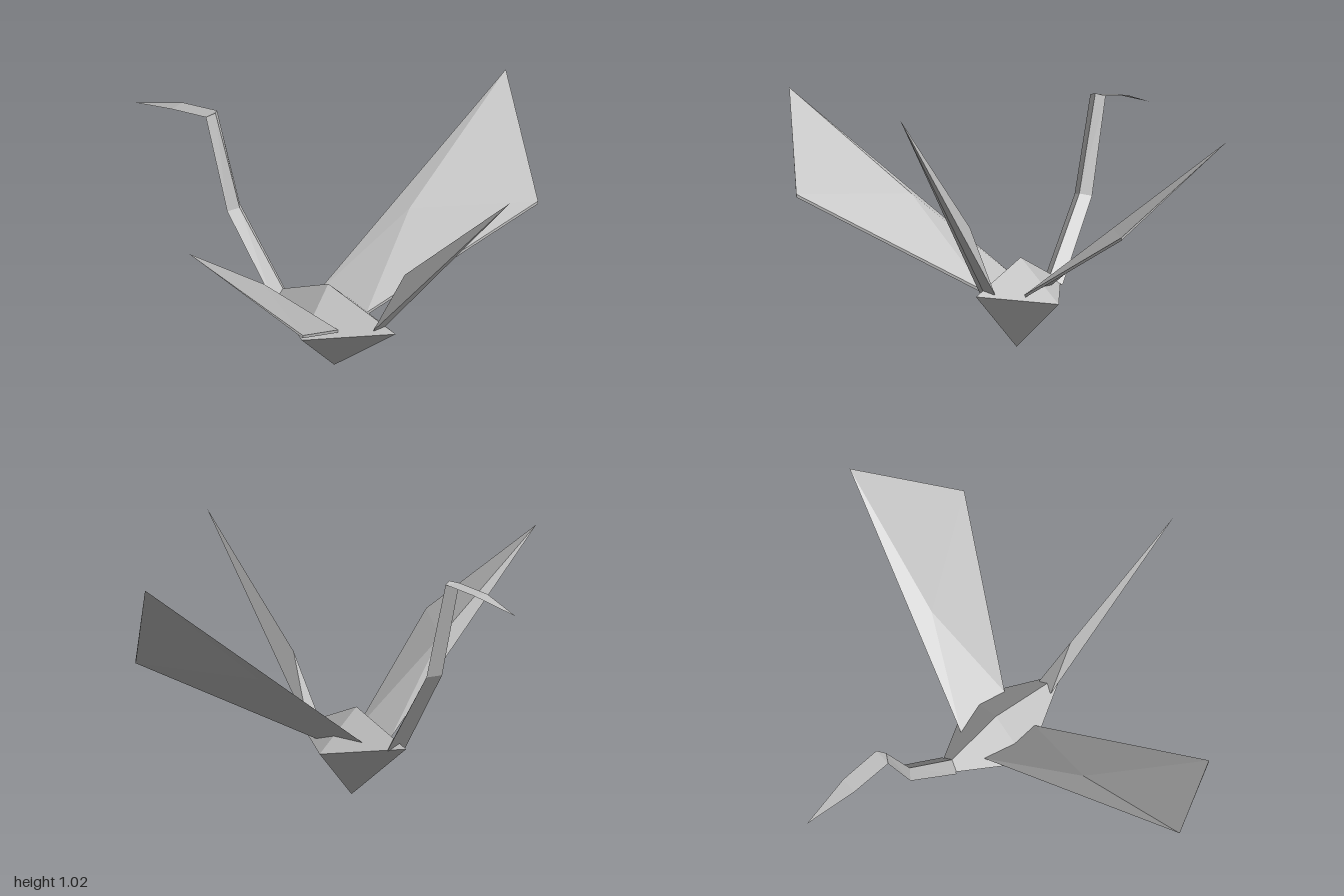
import * as THREE from 'three';

const paper = new THREE.MeshStandardMaterial({ color: 0xbebebe, side: THREE.DoubleSide, flatShading: true });
paper.name = 'grey paper';

// Flat-shaded folded part from named corner points; each face is a string of corner names
function folded(name, corners, faces) {
  const position = [];
  for (const face of faces) {
    for (let i = 1; i < face.length - 1; i++) {
      for (const key of [face[0], face[i], face[i + 1]]) position.push(...corners[key]);
    }
  }
  const geometry = new THREE.BufferGeometry();
  geometry.setAttribute('position', new THREE.Float32BufferAttribute(position, 3));
  geometry.computeVertexNormals();
  const mesh = new THREE.Mesh(geometry, paper);
  mesh.name = name;
  return mesh;
}

// Thin two-layer wing: A, F root corners, T tip, C trailing corner, M crease; lower case is the under layer
function wing(name, corners) {
  const all = { ...corners };
  for (const key of 'FCM') {
    const [x, y, z] = corners[key];
    all[key.toLowerCase()] = [x, y - 0.012, z];
  }
  const faces = ['AMT', 'MCT', 'MFC', 'AFM', 'ATm', 'mTc', 'mcf', 'Amf', 'Ffc', 'FcC', 'CcT', 'AfF'];
  // the x < 0 wing is wound the other way round
  const flip = corners.T[0] < 0;
  return folded(name, all, flip ? faces.map((f) => [...f].reverse().join('')) : faces);
}

export function createModel() {
  const model = new THREE.Group();
  model.name = 'folded paper bird';

  // Body: uneven four-sided double pyramid
  model.add(folded('body', {
    T: [0, 0.35, 0.03], B: [0, 0, 0.06],
    F: [0, 0.24, 0.365], K: [0, 0.22, -0.27],
    L: [0.18, 0.18, 0.04], R: [-0.18, 0.18, 0.04],
  }, ['TFL', 'TLK', 'TKR', 'TRF', 'BLF', 'BKL', 'BRK', 'BFR']));

  // Wings, one raised a little higher
  model.add(wing('leftWing', {
    A: [0.07, 0.23, -0.09], F: [0.09, 0.225, 0.15], M: [0.45, 0.51, 0.08],
    T: [1, 0.905, 0.125], C: [0.74, 0.555, 0.49],
  }));
  model.add(wing('rightWing', {
    A: [-0.07, 0.23, -0.09], F: [-0.09, 0.225, 0.15], M: [-0.47, 0.57, 0.08],
    T: [-1, 0.95, 0.125], C: [-0.745, 0.6, 0.49],
  }));

  // Spike with a keel below and a bent upper edge
  model.add(folded('tail', {
    L: [0.035, 0.24, 0.28], R: [-0.035, 0.24, 0.28], K: [0, 0.235, 0.295],
    B: [0, 0.52, 0.41], T: [0, 1.02, 0.935],
  }, ['LBT', 'RTB', 'RBL', 'KLT', 'RKT', 'LKR']));

  // Neck: triangular tube through three sections [half width, edge y, edge z, ridge y, ridge z]
  const sections = [
    [0.045, 0.21, -0.21, 0.24, -0.185],
    [0.04, 0.53, -0.44, 0.54, -0.41],
    [0.035, 0.91, -0.55, 0.92, -0.53],
  ];
  const rings = sections.map(([w, y, z, ry, rz]) => ({ L: [w, y, z], R: [-w, y, z], C: [0, ry, rz] }));
  for (let i = 0; i < 2; i++) {
    const low = rings[i], high = rings[i + 1];
    model.add(folded(i ? 'upperNeck' : 'lowerNeck', {
      L: low.L, R: low.R, C: low.C, l: high.L, r: high.R, c: high.C,
    }, ['CLlc', 'RCcr', 'LRrl']));
  }

  // Head and beak: a flat folded sheet
  model.add(folded('head', {
    C: rings[2].C, L: rings[2].L, R: rings[2].R,
    l: [0.034, 0.888, -0.72], r: [-0.034, 0.888, -0.72],
  }, ['CLR', 'LlrR']));
  model.add(folded('beak', {
    l: [0.034, 0.888, -0.72], r: [-0.034, 0.888, -0.72], T: [0, 0.83, -0.935],
  }, ['lTr']));

  return model;
}
